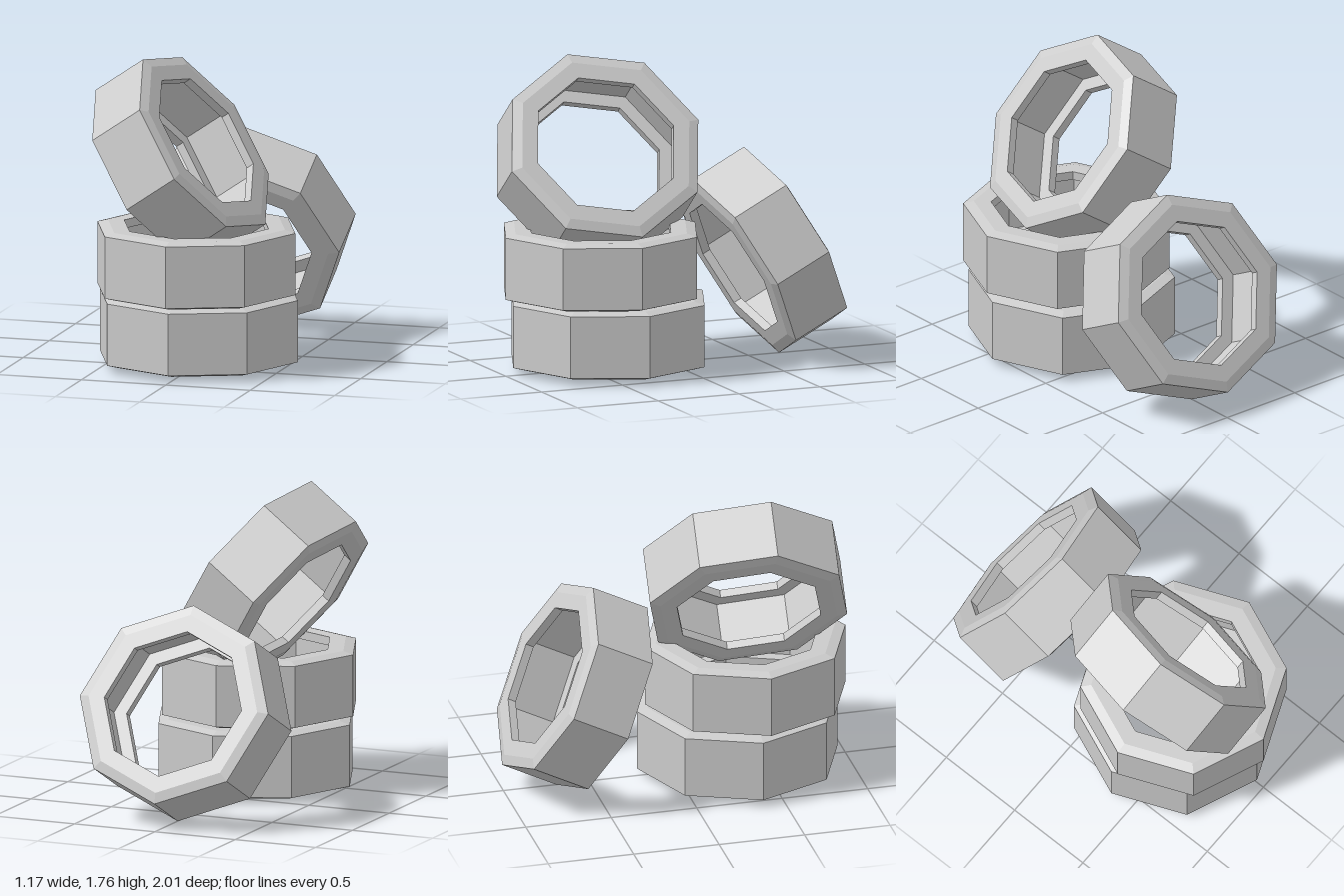
import * as THREE from 'three';

// Half widths and radii of one tyre
const HALF = 0.195, WALL = 0.178, LIP = 0.145;
const OUTER = 0.586, SHOULDER = 0.525, CAVITY = 0.505, HOLE = 0.427;

// Closed cross-section: sidewall, tread, sidewall, then the hollow inside
const profile = [
  [HOLE, -HALF], [SHOULDER, -HALF], [OUTER, -WALL],
  [OUTER, WALL], [SHOULDER, HALF], [HOLE, HALF],
  [HOLE, LIP], [CAVITY, LIP], [CAVITY, -LIP], [HOLE, -LIP], [HOLE, -HALF],
].map(([r, y]) => new THREE.Vector2(r, y));

export function createModel() {
  const model = new THREE.Group();
  model.name = 'tyrePile';
  const rubber = new THREE.MeshStandardMaterial({ color: 0xcccccc, flatShading: true });
  const tyreGeometry = new THREE.LatheGeometry(profile, 8);

  // Place a tyre by its centre, its axle direction and the direction of one corner
  function addTyre(name, centre, axle, corner) {
    const y = new THREE.Vector3(...axle).normalize();
    const x = y.clone().cross(new THREE.Vector3(...corner)).normalize();
    const z = x.clone().cross(y);
    const tyre = new THREE.Mesh(tyreGeometry, rubber);
    tyre.name = name;
    tyre.quaternion.setFromRotationMatrix(new THREE.Matrix4().makeBasis(x, y, z));
    tyre.position.set(...centre);
    model.add(tyre);
  }

  // Two stacked flat, one tipped on top, one leaning behind
  addTyre('bottomTyre', [0, 0.222, 0.368], [0, 1, 0], [0, 0, 1]);
  addTyre('middleTyre', [0, 0.619, 0.415], [0, 1, 0], [0, 0, 1]);
  addTyre('topTyre', [-0.103, 1.19, 0.387], [0.82, 0.565, 0.1], [-0.573, 0.806, 0.144]);
  addTyre('leaningTyre', [0, 0.603, -0.582], [0, 0.455, -0.89], [0, 0.89, 0.455]);

  return model;
}
